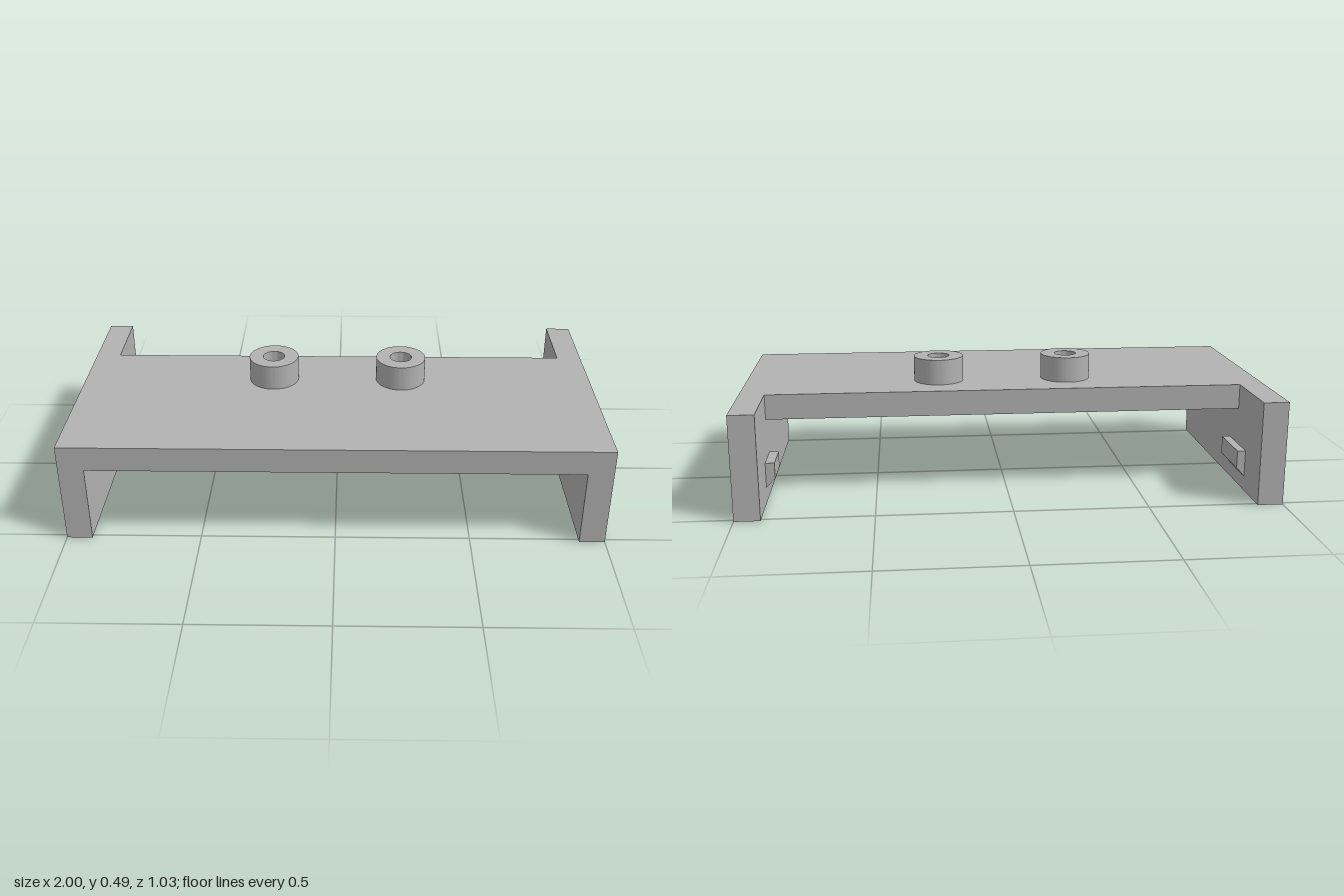
import * as THREE from 'three';
import { toCreasedNormals } from 'three/addons/utils/BufferGeometryUtils.js';

export function createModel() {
  const group = new THREE.Group();
  const grey = new THREE.MeshStandardMaterial({ color: 0xb2b2b2 });
  grey.name = 'plain grey';

  const HEIGHT = 0.39, WALL = 0.095, DEPTH = 0.516, BACK = -0.23;
  const inner = 1 - WALL;

  function add(name, geometry, x, y, z) {
    const mesh = new THREE.Mesh(geometry, grey);
    mesh.name = name;
    mesh.position.set(x, y, z);
    group.add(mesh);
    return mesh;
  }

  // Deck spanning between the side walls, cut short at the back
  add('deck', new THREE.BoxGeometry(2 * inner, WALL, DEPTH - BACK),
    0, HEIGHT - WALL / 2, (DEPTH + BACK) / 2);

  // Catch: a small block with a chamfered lower edge, reaching inward from a wall
  function addCatch(name, side, zBack, zFront, top, reach) {
    const points = [[0, top], [0, 0.055], [reach, 0.09], [reach, top]]
      .map(([d, y]) => new THREE.Vector2(side * (inner - d), y));
    const geometry = new THREE.ExtrudeGeometry(new THREE.Shape(points),
      { depth: zFront - zBack, bevelEnabled: false });
    add(name, geometry, 0, 0, zBack);
  }
  addCatch('leftCatch', 1, -0.312, -0.165, 0.15, 0.034);
  addCatch('rightCatch', -1, -0.342, -0.14, 0.157, 0.031);

  // Hollow round boss, standing on the deck
  const ring = new THREE.Shape().absarc(0, 0, 0.096, 0, Math.PI * 2);
  ring.holes.push(new THREE.Path().absarc(0, 0, 0.042, 0, Math.PI * 2, true));
  const boss = toCreasedNormals(new THREE.ExtrudeGeometry(ring,
    { depth: 0.097, bevelEnabled: false, curveSegments: 48 }).rotateX(-Math.PI / 2), 0.6);

  // Side walls and bosses, mirrored
  for (const [name, side] of [['left', 1], ['right', -1]]) {
    add(name + 'Wall', new THREE.BoxGeometry(WALL, HEIGHT, 2 * DEPTH),
      side * (1 - WALL / 2), HEIGHT / 2, 0);
    add(name + 'Boss', boss, side * 0.25, HEIGHT, -0.034);
  }

  return group;
}
